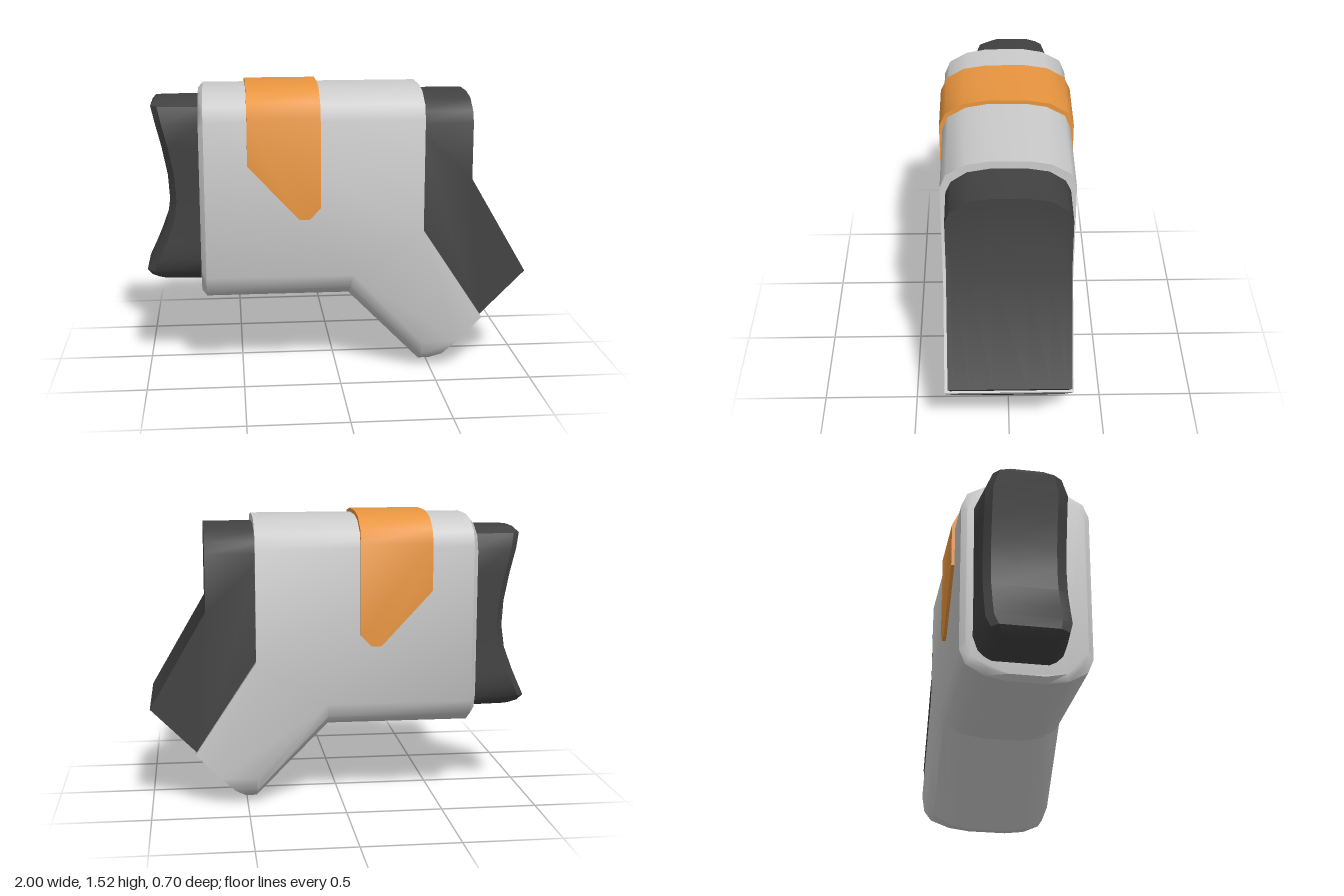
import * as THREE from 'three';
import { toCreasedNormals } from 'three/addons/utils/BufferGeometryUtils.js';

const GREY = 0xcccccc, DARK = 0x424242, ORANGE = 0xe8953f;

// Where outline coordinates (u, v) and the stacking level w land in space
const PLACE = {
  x: (u, v, w) => [w, u, v],
  y: (u, v, w) => [v, w, u],
  z: (u, v, w) => [u, v, w],
};

// Stacks counter-clockwise outlines of equal length along an axis and caps both ends
function loft(levels, axis = 'z', crease = 0.7) {
  const n = levels[0].outline.length, pos = [], index = [];
  for (const { w, outline } of levels) {
    for (const [u, v] of outline) pos.push(...PLACE[axis](u, v, w));
  }
  for (let k = 0; k < levels.length - 1; k++) {
    for (let i = 0; i < n; i++) {
      const a = k * n + i, b = k * n + (i + 1) % n;
      index.push(a, b, b + n, a, b + n, a + n);
    }
  }
  const cap = (k, flip) => {
    const pts = levels[k].outline.map(([u, v]) => new THREE.Vector2(u, v));
    for (const [a, b, c] of THREE.ShapeUtils.triangulateShape(pts, [])) {
      const o = k * n;
      index.push(o + a, o + (flip ? c : b), o + (flip ? b : c));
    }
  };
  cap(0, true);
  cap(levels.length - 1, false);
  const g = new THREE.BufferGeometry();
  g.setAttribute('position', new THREE.Float32BufferAttribute(pos, 3));
  g.setIndex(index);
  return toCreasedNormals(g, crease);
}

// Rounded shoulder: [half width, drop from the crown]
const BODY_ROUND = [[0.335, 0.15], [0.305, 0.075], [0.21, 0.02], [0.1, 0]];
const BAND_ROUND = [[0.352, 0.15], [0.317, 0.075], [0.225, 0.02], [0.1, 0]];
const CORE_ROUND = [[0.307, 0.135], [0.28, 0.075], [0.2, 0.02], [0.085, 0]];

// Side outline swept across the width, shrinking by the shoulder drop d
function acrossWidth(round, outlineAt) {
  const back = round.map(([z, d]) => ({ w: -z, outline: outlineAt(d) }));
  const front = [...round].reverse().map(([z, d]) => ({ w: z, outline: outlineAt(d) }));
  return loft([...back, ...front]);
}

// Closed rounded section (y, z) between two heights
function ring(bottom, top, inset) {
  const pts = [];
  const scale = 1 - inset / 0.335;
  const lo = bottom + inset, hi = top - inset;
  const rev = [...BODY_ROUND].reverse();
  for (const [z, d] of rev) pts.push([lo + d, -z * scale]);
  for (const [z, d] of BODY_ROUND) pts.push([hi - d, -z * scale]);
  for (const [z, d] of rev) pts.push([hi - d, z * scale]);
  for (const [z, d] of BODY_ROUND) pts.push([lo + d, z * scale]);
  return pts;
}

export function createModel() {
  const model = new THREE.Group();
  const add = (name, geometry, color) => {
    const mesh = new THREE.Mesh(geometry, new THREE.MeshStandardMaterial({ color }));
    mesh.name = name;
    model.add(mesh);
  };

  // Main housing with its angled lower leg
  add('housing', acrossWidth(BODY_ROUND, d => [
    [-0.685, 1.505 - d], [-0.685, 0.388 + d], [0.065 + 0.1 * d, 0.388 + d],
    [0.45, d], [0.488 + d, d], [0.77, 0.285], [0.45, 0.77], [0.45, 1.505 - d],
  ]), GREY);

  // Chamfered end of the housing
  add('housingChamfer', loft([
    { w: -0.71, outline: ring(0.388, 1.505, 0.028) },
    { w: -0.685, outline: ring(0.388, 1.505, 0) },
  ], 'x'), GREY);

  // Strap over the top with pointed ends on both sides
  add('strap', acrossWidth(BAND_ROUND, d => [
    [-0.465, 1.525 - d], [-0.465, 1.13], [-0.2, 0.845],
    [-0.148, 0.845], [-0.09, 0.905], [-0.09, 1.525 - d],
  ]), ORANGE);

  // Bent dark block leaving the housing
  add('bentBlock', acrossWidth(CORE_ROUND, d => [
    [0.4, 1.465 - d], [0.4, 0.72], [0.757, 0.287],
    [1.0, 0.53], [0.705, 1.035], [0.705, 1.465 - d],
  ]), DARK);

  // Dark panel on the slanted end of the lower leg
  add('legPanel', acrossWidth(CORE_ROUND, d => [
    [0.46 + d, 0.052 + d], [0.503 + d, 0.009 + d], [0.762, 0.268], [0.719, 0.311],
  ]), DARK);

  // Contoured end pad: [height, outer x, width factor]
  const padLevels = [
    [0.477, -0.94, 0.6], [0.495, -0.975, 0.75], [0.53, -1.0, 0.9], [0.6, -0.965, 1],
    [0.68, -0.93, 1], [0.8, -0.885, 1], [0.92, -0.868, 1], [1.05, -0.876, 1],
    [1.2, -0.905, 1], [1.33, -0.937, 1], [1.41, -0.957, 0.83], [1.438, -0.935, 0.5],
  ];
  const padCentre = -0.036;
  add('endPad', loft(padLevels.map(([y, x, s]) => ({
    w: y,
    outline: [
      [-0.175, x], [0.155, x], [0.21, x + 0.035],
      [0.237, -0.7], [-0.237, -0.7], [-0.21, x + 0.035],
    ].map(([z, px]) => [padCentre + z * s, px]),
  })), 'y', 0.55), DARK);

  return model;
}
